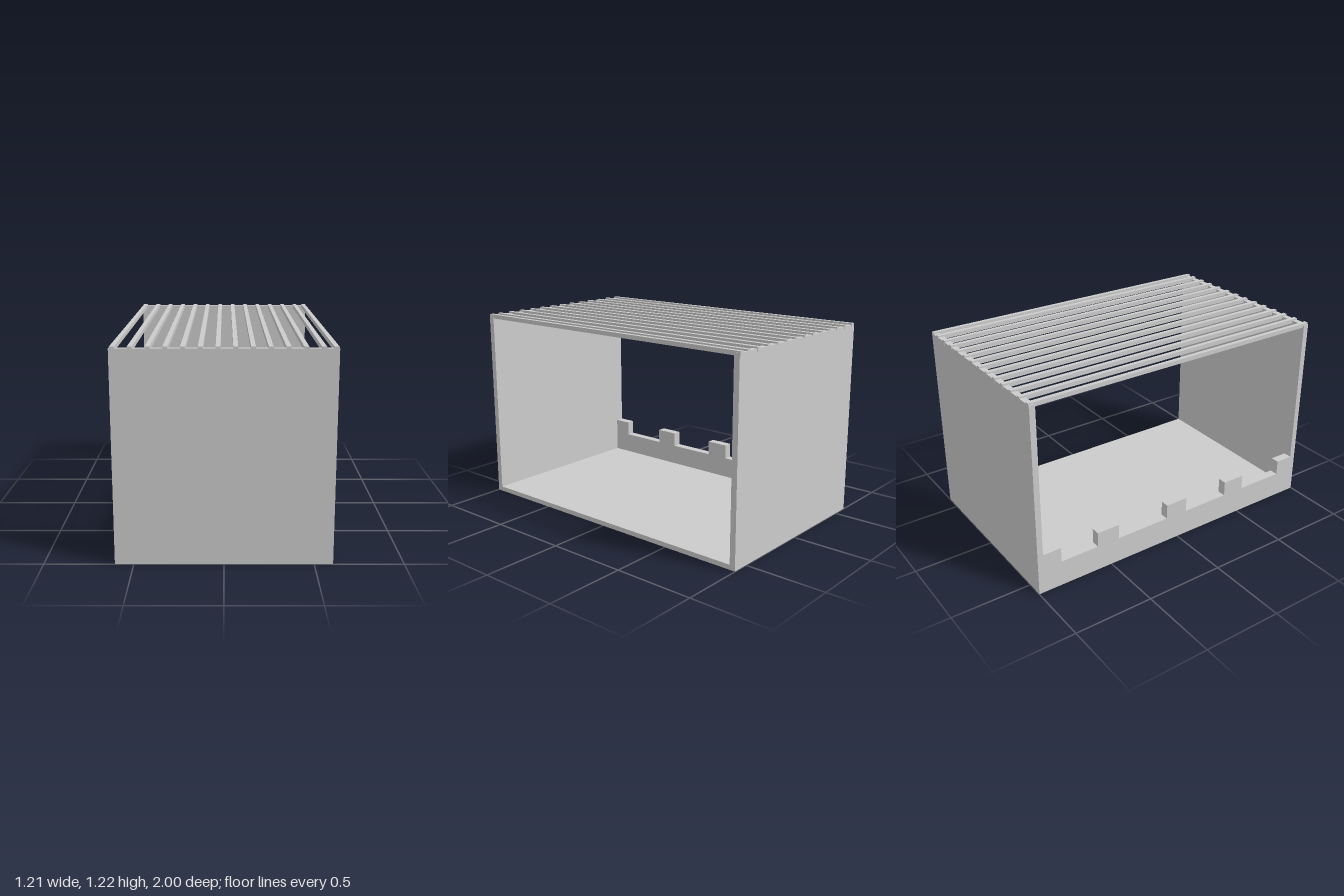
import * as THREE from 'three';

export function createModel() {
  const model = new THREE.Group();
  model.name = 'slattedShelter';
  const material = new THREE.MeshStandardMaterial({ color: 0xcccccc, flatShading: true });

  // Adds a box given its extents along each axis
  const addBox = (name, [x0, x1], [y0, y1], [z0, z1], parent = model) => {
    const mesh = new THREE.Mesh(new THREE.BoxGeometry(x1 - x0, y1 - y0, z1 - z0), material);
    mesh.position.set((x0 + x1) / 2, (y0 + y1) / 2, (z0 + z1) / 2);
    mesh.name = name;
    parent.add(mesh);
  };

  const halfX = 0.605;
  addBox('floor', [-halfX, halfX], [0, 0.03], [-0.999, 0.999]);
  addBox('frontWall', [-halfX, halfX], [0.03, 1.208], [0.963, 0.999]);
  addBox('backWall', [-halfX, halfX], [0.03, 1.208], [-0.999, -0.963]);

  // Low notched parapet along the -x side, drawn in (-z, y) and extruded in x
  const shape = new THREE.Shape();
  const end = 0.963, low = 0.165, high = 0.26;
  const teeth = [[-end, -0.845], [-0.53, -0.38], [-0.065, 0.085], [0.445, 0.595], [0.845, end]];
  shape.moveTo(end, 0.03);
  shape.lineTo(-end, 0.03);
  teeth.forEach(([a, b], i) => {
    if (i > 0) shape.lineTo(a, low);
    shape.lineTo(a, high);
    shape.lineTo(b, high);
    if (i < teeth.length - 1) shape.lineTo(b, low);
  });
  shape.closePath();
  const geometry = new THREE.ExtrudeGeometry(shape, { depth: 0.055, bevelEnabled: false });
  geometry.rotateY(Math.PI / 2);
  const parapet = new THREE.Mesh(geometry, material);
  parapet.position.x = -halfX;
  parapet.name = 'parapet';
  model.add(parapet);

  // Roof slats: evenly spaced, with a closing slat at the +x edge
  const slats = new THREE.Group();
  slats.name = 'roofSlats';
  const centres = Array.from({ length: 13 }, (_, i) => -0.586 + i * 0.0925);
  centres.push(0.589);
  for (const x of centres) addBox('roofSlat', [x - 0.013, x + 0.013], [1.192, 1.218], [-1, 1], slats);
  model.add(slats);

  return model;
}
